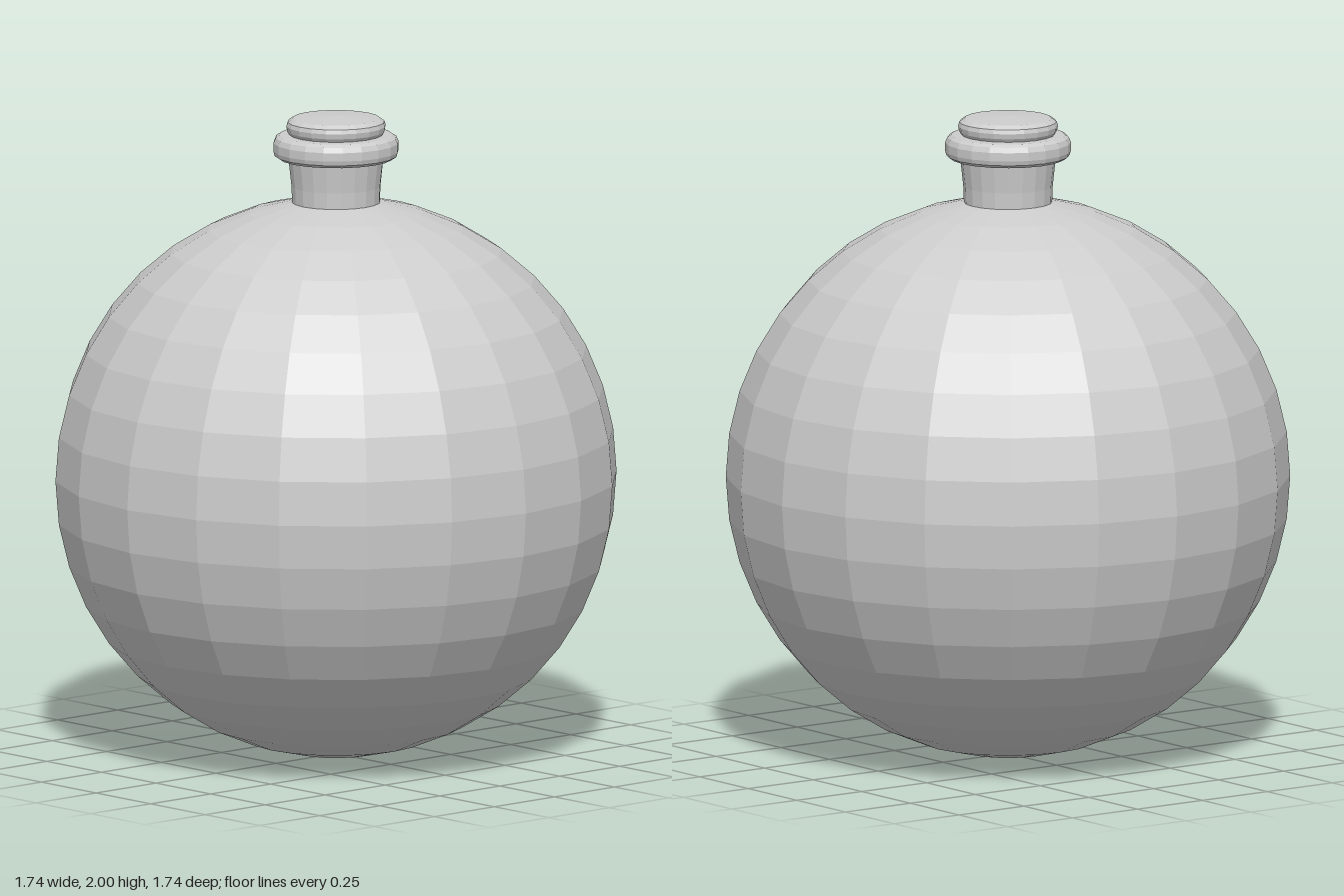
import * as THREE from 'three';

const SIDES = 20;

export function createModel() {
  const group = new THREE.Group();
  const grey = new THREE.MeshStandardMaterial({ color: 0xcccccc });
  grey.name = 'light grey';

  const add = (name, geometry) => {
    // separate the faces so each one is shaded flat
    const flat = geometry.toNonIndexed();
    flat.computeVertexNormals();
    const mesh = new THREE.Mesh(flat, grey);
    mesh.name = name;
    group.add(mesh);
    return mesh;
  };

  // profiles run from bottom to top as [radius, height]
  const lathe = (name, profile) =>
    add(name, new THREE.LatheGeometry(profile.map(([r, y]) => new THREE.Vector2(r, y)), SIDES));

  // round body
  add('body', new THREE.SphereGeometry(0.87, SIDES, 20)).position.y = 0.87;

  // neck, widening slightly towards the top
  lathe('neck', [[0.136, 1.725], [0.138, 1.78], [0.148, 1.872]]);

  // rounded collar
  lathe('collar', [
    [0.14, 1.866], [0.175, 1.866], [0.19, 1.876], [0.194, 1.89],
    [0.194, 1.916], [0.187, 1.932], [0.175, 1.94], [0.135, 1.942],
  ]);

  // stopper with a softly domed top
  lathe('stopper', [
    [0.142, 1.938], [0.151, 1.952], [0.154, 1.968], [0.15, 1.981],
    [0.134, 1.992], [0, 2],
  ]);

  return group;
}
